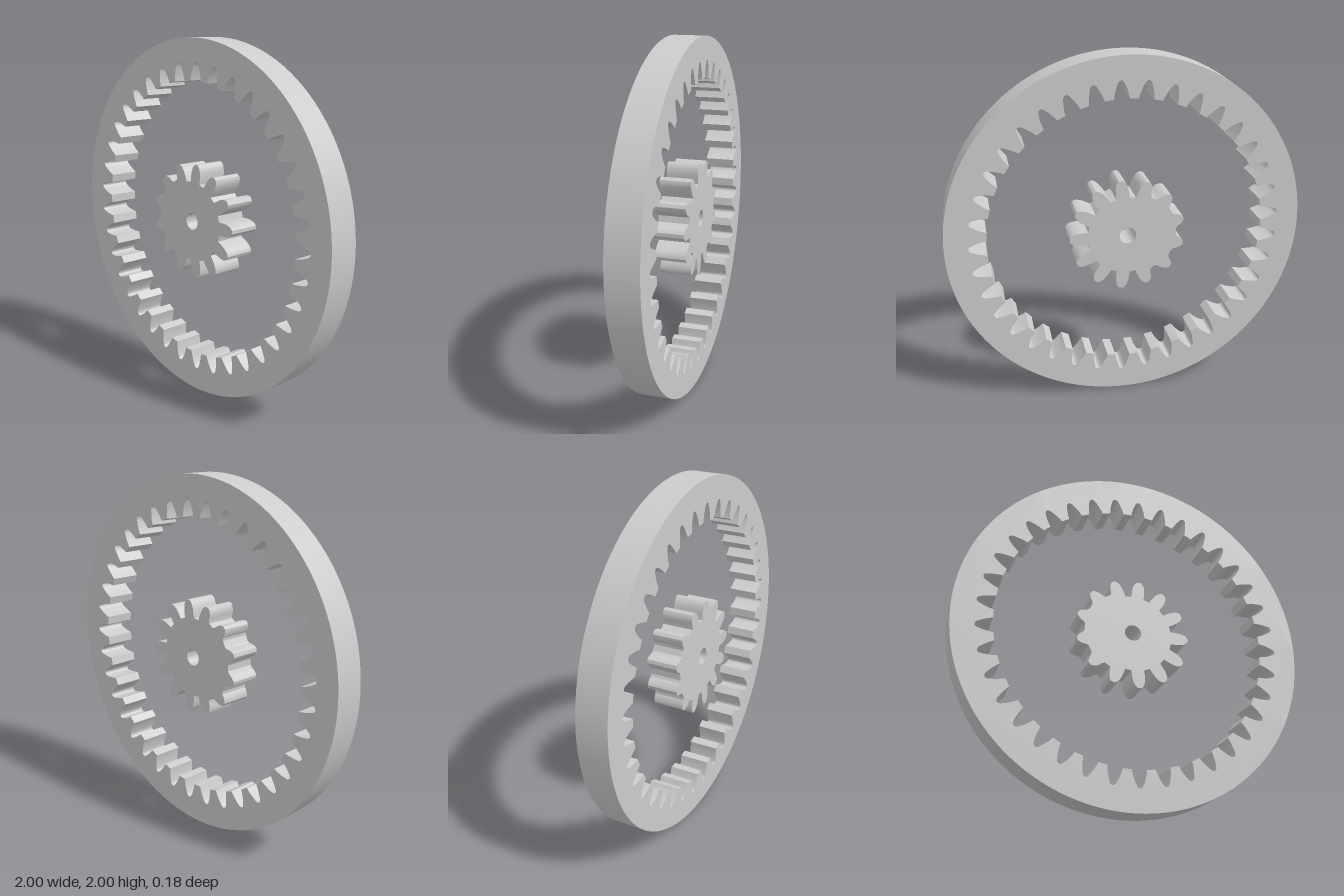
import * as THREE from 'three';
import { toCreasedNormals } from 'three/addons/utils/BufferGeometryUtils.js';

const DEPTH = 0.176;
const material = new THREE.MeshStandardMaterial({ color: 0xcccccc });

// Point at radius r, shifted sideways by w (arc length) from angle a
function polar(r, a, w = 0) {
  const t = a + w / r;
  return new THREE.Vector2(r * Math.cos(t), r * Math.sin(t));
}

// Repeats a half-profile of [radius, half-width] around a circle.
// Each entry is mirrored about the centre line of the tooth or groove.
function toothedOutline(count, profileAt) {
  const points = [];
  for (let i = 0; i < count; i++) {
    const a = (i / count) * Math.PI * 2;
    const { before, after } = profileAt(a);
    for (const [r, w] of before) points.push(polar(r, a, -w));
    for (const [r, w] of [...after].reverse()) points.push(polar(r, a, w));
  }
  return points;
}

function plate(name, shape) {
  const geometry = new THREE.ExtrudeGeometry(shape, {
    depth: DEPTH, bevelEnabled: false, curveSegments: 96,
  });
  geometry.translate(0, 0, -DEPTH / 2);
  const mesh = new THREE.Mesh(toCreasedNormals(geometry, 0.45), material);
  mesh.name = name;
  mesh.position.y = 1;
  return mesh;
}

// Outer ring with inward teeth: the profile is the groove between two teeth
function ringGear() {
  const groove = [
    [0.775, 0.042], [0.79, 0.0395], [0.81, 0.035], [0.83, 0.029],
    [0.85, 0.0215], [0.862, 0.016], [0.869, 0.010], [0.872, 0.004],
  ];
  const shape = new THREE.Shape();
  shape.absarc(0, 0, 1, 0, Math.PI * 2, false);
  const outline = toothedOutline(37, () => ({ before: groove, after: groove }));
  shape.holes.push(new THREE.Path(outline.reverse()));
  return plate('ringGear', shape);
}

// Small central gear; the gaps get shallower towards its right-hand (-x) side
function pinion() {
  const count = 13;
  const rootAt = (a) => 0.226 + 0.05 * THREE.MathUtils.smoothstep(-Math.cos(a), 0.1, 0.95);
  const flank = (root) => [
    [root, 0.037 + (root - 0.226) * 0.25],
    [THREE.MathUtils.lerp(root, 0.30, 0.4), 0.037],
    [THREE.MathUtils.lerp(root, 0.30, 0.75), 0.035],
    [0.305, 0.029], [0.318, 0.020], [0.326, 0.010],
  ];
  const half = Math.PI / count;
  const shape = new THREE.Shape(toothedOutline(count, (a) => ({
    before: flank(rootAt(a - half)),
    after: flank(rootAt(a + half)),
  })));
  const bore = new THREE.Path();
  bore.absarc(0, 0, 0.047, 0, Math.PI * 2, true);
  shape.holes.push(bore);
  return plate('pinion', shape);
}

export function createModel() {
  const group = new THREE.Group();
  group.name = 'gearSet';
  group.add(ringGear(), pinion());
  return group;
}
